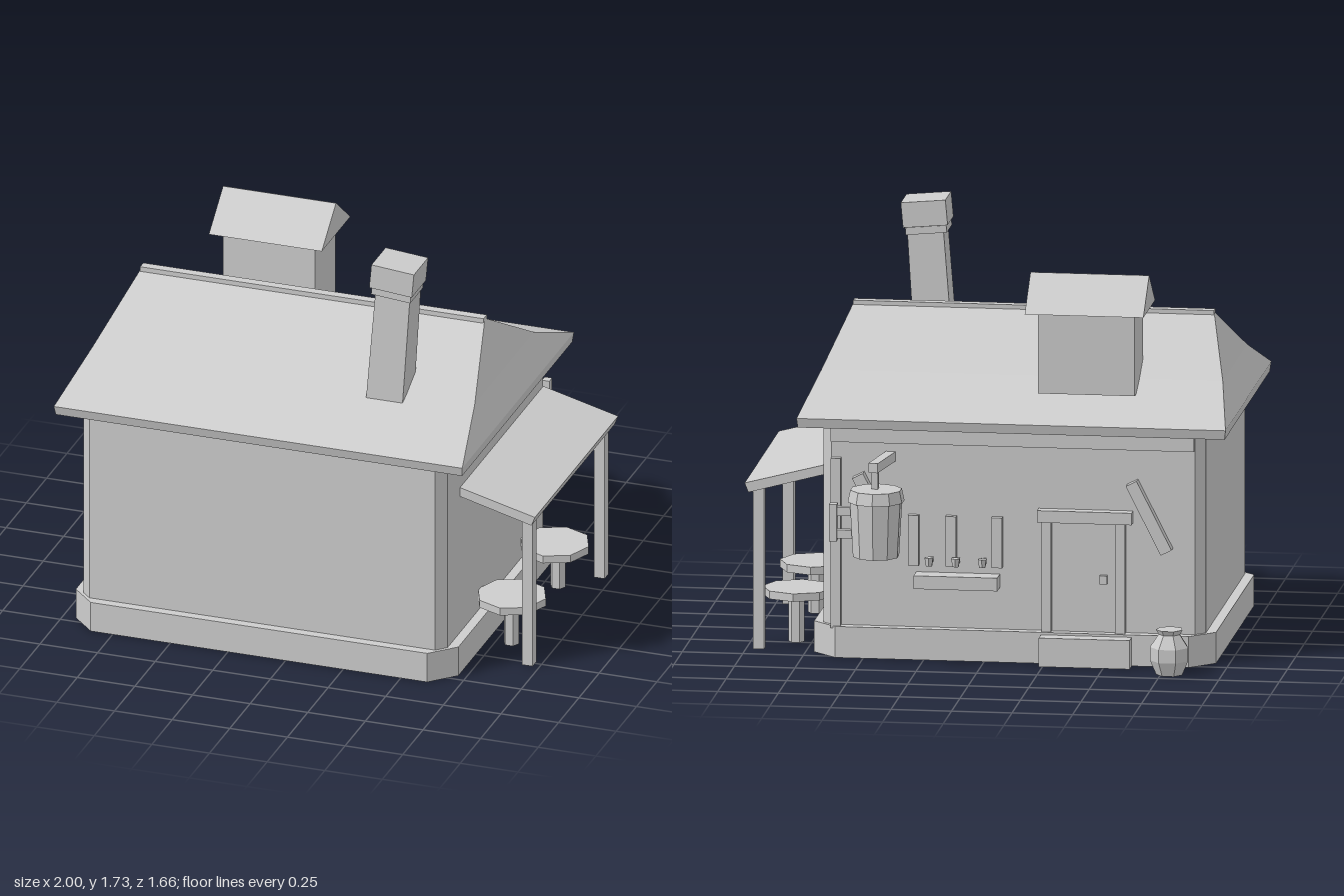
import * as THREE from 'three';

const grey = new THREE.MeshStandardMaterial({ color: 0xcccccc, flatShading: true });
grey.name = 'plain grey';

// Horizontal rectangle (corners optionally chamfered), counterclockwise from above
function ring(y, x0, x1, z0, z1, c = 0) {
  const pts = c
    ? [[x0 + c, z1], [x1 - c, z1], [x1, z1 - c], [x1, z0 + c], [x1 - c, z0], [x0 + c, z0], [x0, z0 + c], [x0, z1 - c]]
    : [[x0, z1], [x1, z1], [x1, z0], [x0, z0]];
  return pts.map(([x, z]) => [x, y, z]);
}

// Closed solid through a stack of rings, from bottom to top
function loft(rings) {
  const pos = [];
  const tri = (...p) => p.forEach((v) => pos.push(...v));
  const n = rings[0].length;
  for (let r = 0; r + 1 < rings.length; r++) {
    for (let i = 0; i < n; i++) {
      const j = (i + 1) % n, lo = rings[r], hi = rings[r + 1];
      tri(lo[i], lo[j], hi[j]);
      tri(lo[i], hi[j], hi[i]);
    }
  }
  const bottom = rings[0], top = rings[rings.length - 1];
  for (let i = 1; i + 1 < n; i++) {
    tri(bottom[0], bottom[i + 1], bottom[i]);
    tri(top[0], top[i], top[i + 1]);
  }
  const g = new THREE.BufferGeometry();
  g.setAttribute('position', new THREE.Float32BufferAttribute(pos, 3));
  g.computeVertexNormals();
  return g;
}

export function createModel() {
  const model = new THREE.Group();
  model.name = 'cottage';

  const add = (name, geometry, x = 0, y = 0, z = 0) => {
    const m = new THREE.Mesh(geometry, grey);
    m.name = name;
    m.position.set(x, y, z);
    model.add(m);
    return m;
  };
  // Box given by its extents
  const box = (name, x0, x1, y0, y1, z0, z1) =>
    add(name, new THREE.BoxGeometry(x1 - x0, y1 - y0, z1 - z0), (x0 + x1) / 2, (y0 + y1) / 2, (z0 + z1) / 2);
  const lathe = (points, sides) =>
    new THREE.LatheGeometry(points.map(([r, y]) => new THREE.Vector2(r, y)), sides);

  // Base: a thin rim, hollow underneath up to the floor
  add('base', loft([
    ring(0.125, -0.94, 0.71, -0.52, 0.81, 0.1),
    ring(0, -0.94, 0.71, -0.52, 0.81, 0.1),
    ring(0, -0.945, 0.715, -0.525, 0.815, 0.1),
    ring(0.13, -0.945, 0.715, -0.525, 0.815, 0.1),
  ]));
  add('walls', loft([ring(0.13, -0.905, 0.675, -0.482, 0.775, 0.04), ring(0.97, -0.905, 0.675, -0.482, 0.775, 0.04)]));

  // Main roof with a slight break in the long slopes
  add('roof', loft([
    ring(0.96, -0.995, 0.768, -0.535, 0.82),
    ring(1.0, -1, 0.772, -0.545, 0.83),
    ring(1.137, -0.944, 0.714, -0.22, 0.512),
    ring(1.345, -0.86, 0.63, 0.135, 0.15),
  ]));
  box('ridgeCap', -0.86, 0.63, 1.325, 1.357, 0.125, 0.165);

  // Roof turret with its own gable roof
  box('turret', -0.6, -0.2, 1.095, 1.44, -0.365, -0.115);
  add('turretRoof', loft([
    ring(1.435, -0.643, -0.153, -0.417, -0.065),
    ring(1.575, -0.643, -0.153, -0.242, -0.24),
  ]));

  // Leaning chimney
  add('chimneyShaft', loft([ring(1.0, 0.25, 0.41, 0.41, 0.56), ring(1.6, 0.297, 0.447, 0.413, 0.55)]));
  add('chimneyCollar', new THREE.BoxGeometry(0.17, 0.03, 0.155), 0.368, 1.598, 0.483).rotation.z = -0.09;
  add('chimneyCap', new THREE.BoxGeometry(0.185, 0.105, 0.175), 0.374, 1.668, 0.483).rotation.z = -0.09;

  // Lean-to canopy with two posts
  const canopy = new THREE.ExtrudeGeometry(
    new THREE.Shape([[0.66, 0.75], [0.985, 0.663], [1, 0.702], [0.66, 0.79]].map((p) => new THREE.Vector2(...p))),
    { depth: 1.025, bevelEnabled: false },
  );
  add('canopy', canopy, 0, 0, -0.443);
  for (const z of [0.507, -0.378]) box('canopyPost', 0.925, 0.972, 0, 0.68, z - 0.023, z + 0.023);

  // Round tables under the canopy
  for (const [z, legZ] of [[0.34, 0.347], [-0.187, -0.228]]) {
    add('tableTop', new THREE.CylinderGeometry(0.147, 0.147, 0.033, 8), 0.815, 0.203, z);
    add('tableLeg', new THREE.CylinderGeometry(0.033, 0.033, 0.19, 6), 0.815, 0.095, legZ).rotation.y = Math.PI / 6;
  }

  // Back wall beam and post
  box('backBeam', -0.865, 0.635, 0.9, 0.965, -0.514, -0.47);
  box('backPost', 0.595, 0.635, 0.12, 0.83, -0.514, -0.47);

  // Back door
  for (const x of [-0.255, -0.56]) box('doorPost', x - 0.02, x + 0.02, 0.1, 0.6, -0.515, -0.47);
  box('doorLintel', -0.61, -0.22, 0.59, 0.64, -0.53, -0.47);
  box('doorPanel', -0.54, -0.275, 0.12, 0.59, -0.487, -0.47);
  box('doorKnob', -0.505, -0.475, 0.335, 0.37, -0.51, -0.48);
  box('doorStep', -0.61, -0.235, 0, 0.12, -0.59, -0.51);

  // Slanted boards nailed to the wall
  for (const x of [-0.68, 0.45]) {
    add('slantedBoard', new THREE.BoxGeometry(0.05, 0.32, 0.05), x, 0.62, -0.503).rotation.z = -0.47;
  }

  // Tap rack: slats, taps and drip tray
  for (const x of [0.295, 0.14, -0.05]) box('tapSlat', x - 0.022, x + 0.022, 0.39, 0.6, -0.51, -0.47);
  for (const x of [0.225, 0.115, 0.005]) {
    box('tapPipe', x - 0.01, x + 0.01, 0.405, 0.425, -0.54, -0.47);
    add('tap', new THREE.CylinderGeometry(0.02, 0.014, 0.035, 6), x, 0.415, -0.54);
  }
  box('dripTray', -0.06, 0.285, 0.305, 0.36, -0.565, -0.47);

  // Hanging mug on a bracket
  add('bracketArm', new THREE.BoxGeometry(0.04, 0.04, 0.26), 0.41, 0.84, -0.598).rotation.y = -0.16;
  box('bracketHanger', 0.412, 0.438, 0.74, 0.83, -0.716, -0.69);
  add('mug', lathe([[0, 0.47], [0.096, 0.47], [0.109, 0.7], [0.118, 0.7], [0.107, 0.75], [0, 0.75]], 10), 0.42, 0, -0.713);
  box('mugHandleGrip', 0.58, 0.612, 0.53, 0.685, -0.73, -0.695);
  for (const y of [0.56, 0.655]) box('mugHandleArm', 0.5, 0.59, y - 0.018, y + 0.018, -0.727, -0.698);

  // Jar beside the door
  add('jar', lathe([
    [0, 0], [0.055, 0], [0.081, 0.06], [0.081, 0.115], [0.045, 0.168], [0.056, 0.188], [0, 0.188],
  ], 7), -0.785, 0, -0.66);

  return model;
}
